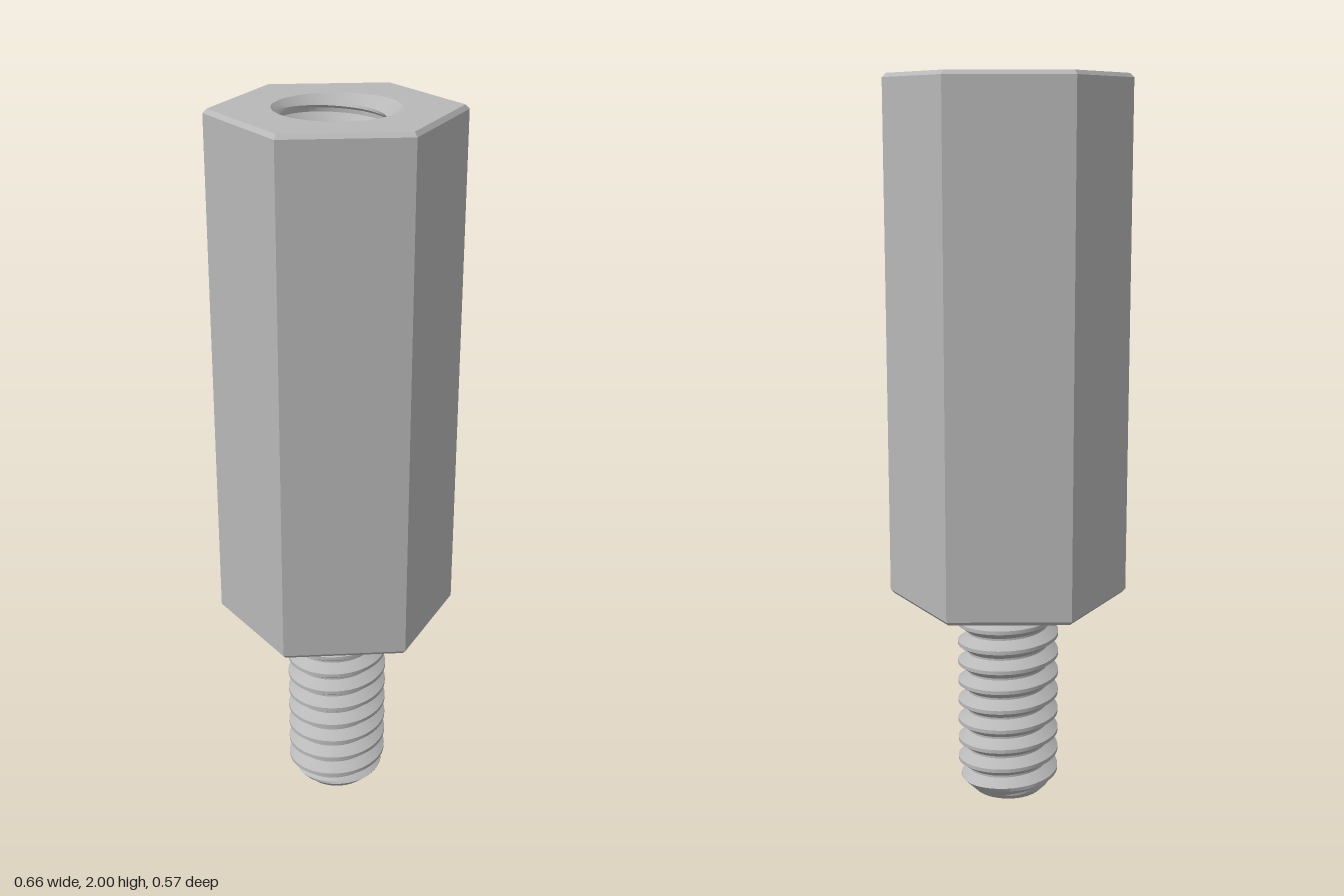
import * as THREE from 'three';
import { toCreasedNormals } from 'three/addons/utils/BufferGeometryUtils.js';

const HEX = 0.33, SHOULDER = 0.58, TOP = 2, BEVEL = 0.011;
const PITCH = 0.058, SEGMENTS = 64;
const STUD = { root: 0.113, crest: 0.142 };
const BORE = { root: 0.118, crest: 0.143, mouth: 0.163, floor: 1.3 };

// Tooth outline over one pitch: [fraction of pitch, 0 = root .. 1 = crest]
const TOOTH = [[0, 0], [0.1, 0], [0.46, 1], [0.64, 1]];

function toothHeight(f) {
  const pts = [...TOOTH, [1, 0]];
  for (let i = 0; i < pts.length - 1; i++) {
    const [a, ha] = pts[i], [b, hb] = pts[i + 1];
    if (f <= b) return ha + (hb - ha) * (f - a) / (b - a);
  }
  return 0;
}

// Right-handed helical surface between y0 and y1; limit(r, y) cuts the end chamfers
function threadGeometry(y0, y1, { root, crest }, limit, inward) {
  const position = [], index = [], cols = SEGMENTS + 1;
  let rows = 0;
  for (let k = Math.floor(y0 / PITCH) - 1; k <= Math.ceil(y1 / PITCH) + 1; k++) {
    for (const f of [0, 0.1, 0.22, 0.34, 0.46, 0.64, 0.76, 0.88]) {
      for (let j = 0; j < cols; j++) {
        const turn = j / SEGMENTS, a = turn * Math.PI * 2;
        const y = THREE.MathUtils.clamp((k + f + turn) * PITCH, y0, y1);
        const phase = y / PITCH - turn;
        const r = limit(root + (crest - root) * toothHeight(phase - Math.floor(phase)), y);
        position.push(r * Math.cos(a), y, -r * Math.sin(a));
      }
      rows++;
    }
  }
  const addTriangle = (a, b, c) => {
    const ya = position[a * 3 + 1], yb = position[b * 3 + 1], yc = position[c * 3 + 1];
    if (ya === yb && yb === yc) return; // collapsed beyond an end
    index.push(...(inward ? [a, c, b] : [a, b, c]));
  };
  for (let i = 0; i < rows - 1; i++) {
    for (let j = 0; j < SEGMENTS; j++) {
      const p = i * cols + j, q = p + cols;
      addTriangle(p, p + 1, q + 1);
      addTriangle(p, q + 1, q);
    }
  }
  const geometry = new THREE.BufferGeometry();
  geometry.setAttribute('position', new THREE.Float32BufferAttribute(position, 3));
  geometry.setIndex(index);
  return toCreasedNormals(geometry, 0.5);
}

export function createModel() {
  const group = new THREE.Group();
  const steel = new THREE.MeshStandardMaterial({ color: 0xb8b8b8 });
  steel.name = 'grey metal';

  const add = (name, geometry) => {
    const mesh = new THREE.Mesh(geometry, steel);
    mesh.name = name;
    group.add(mesh);
    return mesh;
  };

  // Hexagonal body: underside, bevels and six flats
  const profile = [
    [0, SHOULDER], [HEX - BEVEL, SHOULDER], [HEX, SHOULDER + BEVEL],
    [HEX, TOP - BEVEL], [HEX - BEVEL, TOP],
  ].map(([x, y]) => new THREE.Vector2(x, y));
  const body = new THREE.LatheGeometry(profile, 6, Math.PI / 2);
  add('hexBody', toCreasedNormals(body, 0.1));

  // Top face with the round bore opening
  const face = new THREE.Shape();
  for (let i = 0; i < 6; i++) {
    const a = i * Math.PI / 3, r = HEX - BEVEL;
    face[i ? 'lineTo' : 'moveTo'](r * Math.cos(a), r * Math.sin(a));
  }
  face.closePath();
  face.holes.push(new THREE.Path().absarc(0, 0, BORE.mouth, 0, Math.PI * 2, true));
  const topFace = new THREE.ShapeGeometry(face, SEGMENTS);
  topFace.rotateX(-Math.PI / 2);
  add('topFace', topFace).position.y = TOP;

  // Threaded bore with countersunk mouth and flat floor
  add('threadedBore', threadGeometry(BORE.floor, TOP, BORE,
    (r, y) => Math.max(r, BORE.mouth - (TOP - y)), true));
  const floor = new THREE.CircleGeometry(BORE.crest, SEGMENTS);
  floor.rotateX(-Math.PI / 2);
  add('boreFloor', floor).position.y = BORE.floor;

  // Threaded stud with chamfered tip
  const tip = 0.097;
  add('threadedStud', threadGeometry(0, SHOULDER, STUD,
    (r, y) => Math.min(r, tip + y), false));
  const cap = new THREE.CircleGeometry(tip, SEGMENTS);
  cap.rotateX(Math.PI / 2);
  add('studTip', cap);

  return group;
}
